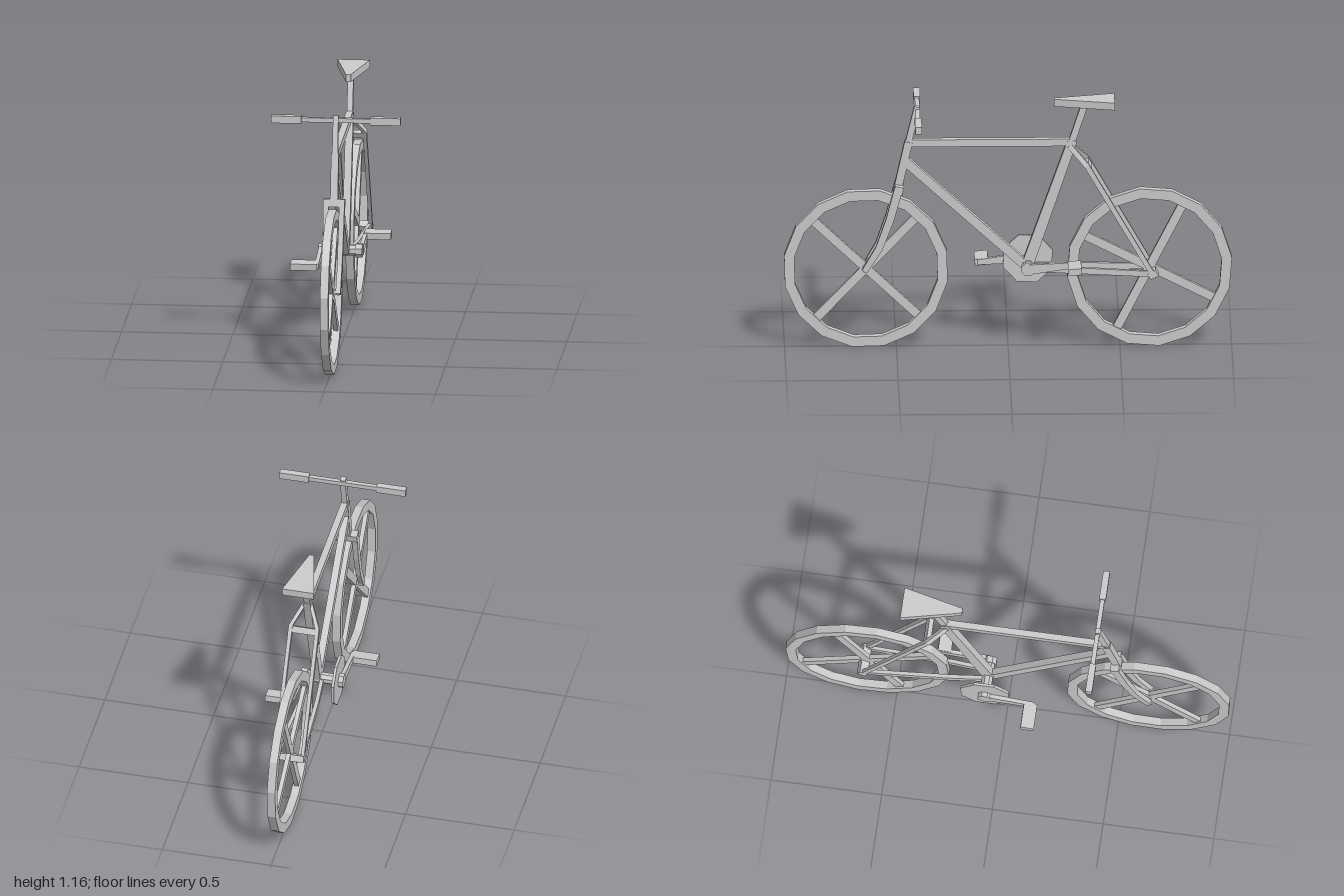
import * as THREE from 'three';

const mat = new THREE.MeshStandardMaterial({ color: 0xcccccc, flatShading: true });

function add(parent, name, geometry, x = 0, y = 0, z = 0) {
  const mesh = new THREE.Mesh(geometry, mat);
  mesh.name = name;
  mesh.position.set(x, y, z);
  parent.add(mesh);
  return mesh;
}

function box(parent, name, w, h, d, x, y, z) {
  return add(parent, name, new THREE.BoxGeometry(w, h, d), x, y, z);
}

// Four-sided bar through sections [x, y, z, width across x, depth in the side plane]
function bar(sections) {
  const rings = sections.map((s, i) => {
    const a = sections[Math.max(i - 1, 0)];
    const b = sections[Math.min(i + 1, sections.length - 1)];
    const len = Math.hypot(b[1] - a[1], b[2] - a[2]);
    const ny = (b[2] - a[2]) / len, nz = -(b[1] - a[1]) / len;
    return [[1, 1], [-1, 1], [-1, -1], [1, -1]].map(([u, v]) => [
      s[0] + u * s[3] / 2, s[1] + v * ny * s[4] / 2, s[2] + v * nz * s[4] / 2]);
  });
  const pos = [];
  const quad = (a, b, c, d) => pos.push(...a, ...b, ...c, ...a, ...c, ...d);
  for (let j = 0; j < rings.length - 1; j++) {
    for (let i = 0; i < 4; i++) {
      const k = (i + 1) % 4;
      quad(rings[j][i], rings[j][k], rings[j + 1][k], rings[j + 1][i]);
    }
  }
  const first = rings[0], last = rings[rings.length - 1];
  quad(first[3], first[2], first[1], first[0]);
  quad(...last);
  const geo = new THREE.BufferGeometry();
  geo.setAttribute('position', new THREE.Float32BufferAttribute(pos, 3));
  geo.computeVertexNormals();
  return geo;
}

// Same bar on both sides of the model
function pair(parent, name, sections) {
  for (const s of [1, -1]) {
    add(parent, (s > 0 ? 'left' : 'right') + name,
      bar(sections.map(([x, ...rest]) => [s * x, ...rest])));
  }
}

// Regular polygon plate standing in the side plane, optionally with a hole
function plate(sides, radius, hole, thick, angle) {
  const points = (r) => Array.from({ length: sides }, (_, i) => {
    const a = angle + i / sides * Math.PI * 2;
    return new THREE.Vector2(r * Math.cos(a), r * Math.sin(a));
  });
  const shape = new THREE.Shape(points(radius));
  if (hole) shape.holes.push(new THREE.Path(points(hole)));
  return new THREE.ExtrudeGeometry(shape, { depth: thick, bevelEnabled: false })
    .translate(0, 0, -thick / 2).rotateY(-Math.PI / 2);
}

// Rim with two crossed spoke bars
function wheel(name, z, degrees) {
  const g = new THREE.Group();
  g.name = name;
  g.position.set(0, 0.368, z);
  const angle = THREE.MathUtils.degToRad(degrees);
  add(g, 'rim', plate(16, 0.371, 0.325, 0.037, angle + Math.PI / 16));
  for (let i = 0; i < 2; i++) {
    const spoke = box(g, 'spokeBar', 0.02, 0.04, 0.66, 0, 0, 0);
    spoke.rotation.x = -angle - i * Math.PI / 2;
  }
  return g;
}

export function createModel() {
  const model = new THREE.Group();
  model.add(wheel('frontWheel', 0.636, 43.5), wheel('rearWheel', -0.633, 27));

  // Main frame
  const frame = new THREE.Group();
  frame.name = 'frame';
  model.add(frame);
  add(frame, 'topTube', bar([[0, 0.955, 0.445, 0.03, 0.033], [0, 0.955, -0.285, 0.03, 0.033]]));
  add(frame, 'downTube', bar([[0, 0.87, 0.46, 0.032, 0.042], [0, 0.375, -0.08, 0.032, 0.042]]));
  add(frame, 'seatTube', bar([[0, 0.375, -0.085, 0.034, 0.052], [0, 0.965, -0.288, 0.034, 0.042]]));
  add(frame, 'seatPost', bar([[0, 0.955, -0.285, 0.026, 0.03], [0, 1.13, -0.342, 0.026, 0.03]]));
  pair(frame, 'SeatStay', [
    [0.012, 0.94, -0.275, 0.018, 0.024], [0.061, 0.86, -0.352, 0.018, 0.024],
    [0.062, 0.342, -0.65, 0.016, 0.022]]);
  pair(frame, 'ChainStay', [
    [0.022, 0.37, -0.1, 0.018, 0.028], [0.036, 0.365, -0.25, 0.018, 0.028],
    [0.058, 0.35, -0.65, 0.016, 0.026]]);
  box(frame, 'stayBridge', 0.12, 0.03, 0.022, 0, 0.845, -0.358).rotation.x = 0.5;
  box(frame, 'rearAxle', 0.14, 0.03, 0.04, 0, 0.348, -0.648).rotation.x = 0.5;

  // Steering column, fork and handlebar
  const steering = new THREE.Group();
  steering.name = 'steering';
  model.add(steering);
  add(steering, 'stem', bar([[0, 1.125, 0.407, 0.024, 0.026], [0, 0.92, 0.454, 0.026, 0.03]]));
  add(steering, 'headTube', bar([[0, 0.96, 0.445, 0.034, 0.036], [0, 0.74, 0.494, 0.034, 0.036]]));
  box(steering, 'forkCrown', 0.096, 0.036, 0.04, 0, 0.742, 0.49).rotation.x = -0.22;
  pair(steering, 'ForkLeg', [
    [0.036, 0.75, 0.49, 0.024, 0.038], [0.034, 0.6, 0.53, 0.024, 0.036],
    [0.033, 0.47, 0.577, 0.022, 0.032], [0.031, 0.36, 0.643, 0.022, 0.026]]);
  box(steering, 'frontAxle', 0.07, 0.022, 0.022, 0, 0.368, 0.637);
  box(steering, 'handlebar', 0.32, 0.02, 0.02, 0, 1.103, 0.405);
  for (const s of [1, -1]) {
    box(steering, s > 0 ? 'leftGrip' : 'rightGrip', 0.135, 0.033, 0.03, s * 0.2225, 1.103, 0.405);
  }

  // Wedge-shaped saddle
  const outline = [[-0.011, 0.206], [0.011, 0.206], [0.073, 0.477], [-0.073, 0.477]]
    .map(([x, y]) => new THREE.Vector2(x, y));
  const saddle = new THREE.ExtrudeGeometry(new THREE.Shape(outline), { depth: 0.034, bevelEnabled: false });
  add(model, 'saddle', saddle.rotateX(-Math.PI / 2), 0, 1.124, 0);

  // Bottom bracket, chainring, cranks and pedals
  const drive = new THREE.Group();
  drive.name = 'drivetrain';
  drive.position.set(0, 0.378, -0.09);
  model.add(drive);
  add(drive, 'bottomBracket', plate(8, 0.026, 0, 0.17, Math.PI / 8), -0.015);
  add(drive, 'chainring', plate(8, 0.118, 0, 0.012, 1.22), -0.094);
  for (const s of [1, -1]) {
    const side = s > 0 ? 'left' : 'right';
    const x = s > 0 ? 0.07 : -0.111;
    add(drive, side + 'CrankBoss', plate(8, 0.033, 0, s > 0 ? 0.03 : 0.022, Math.PI / 8),
      s > 0 ? 0.06 : -0.111);
    add(drive, side + 'CrankArm', bar([
      [x, 0, 0, 0.018, 0.046], [x, s * 0.022, -s * 0.225, 0.018, 0.024]]));
    const pedal = box(drive, side + 'Pedal', 0.12, 0.03, 0.06, s > 0 ? 0.126 : -0.169, s * 0.022, -s * 0.207);
    pedal.rotation.x = 0.1;
  }
  return model;
}
